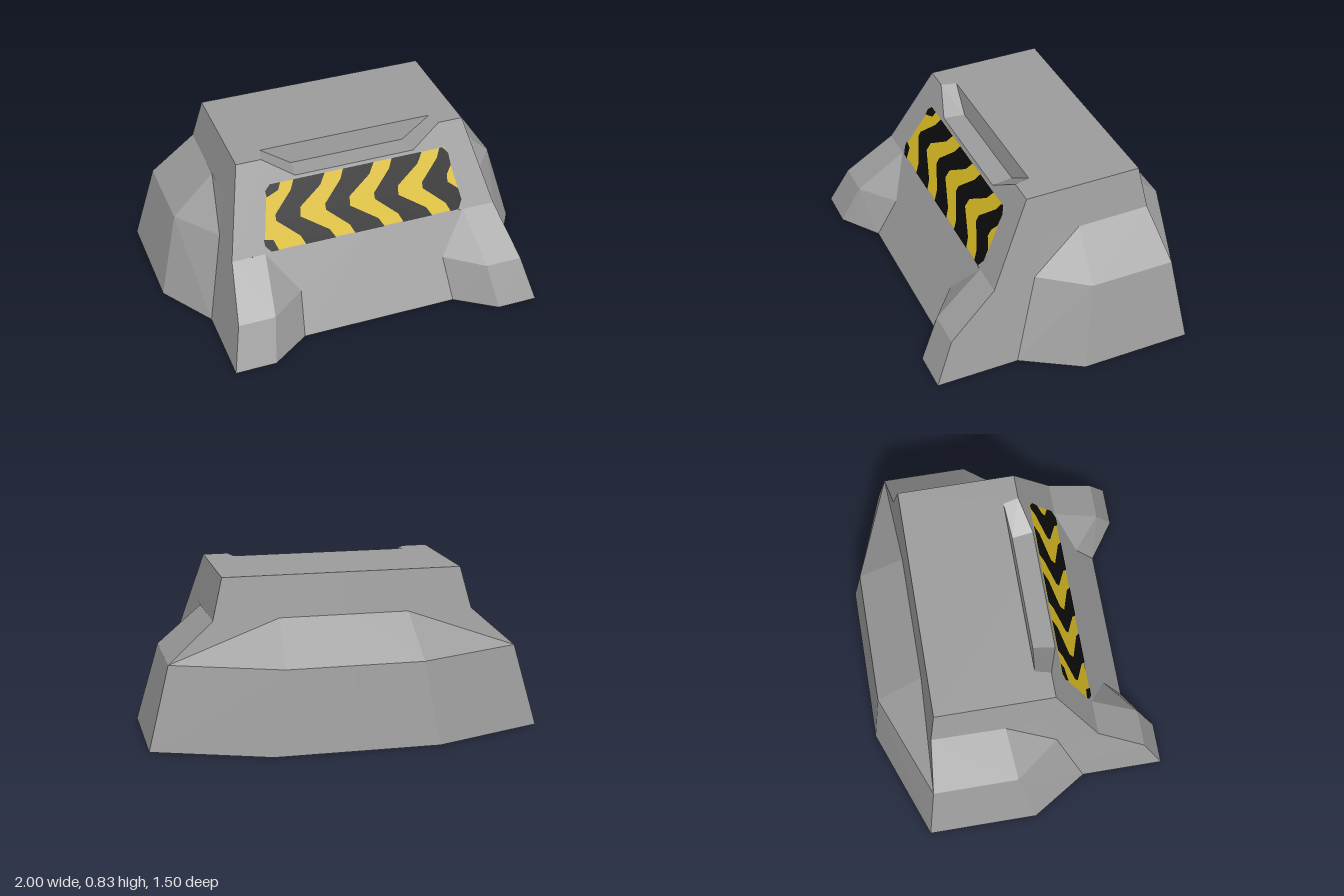
import * as THREE from 'three';

const concrete = new THREE.MeshStandardMaterial({ color: 0x9c9c9c });
const yellow = new THREE.MeshStandardMaterial({ color: 0xd9bb24 });
const black = new THREE.MeshStandardMaterial({ color: 0x0c0c0c });

// Flat faces given for the +x half, fanned into triangles and mirrored to -x
function mirroredMesh(name, faces) {
  const pos = [];
  const fan = (p) => {
    for (let i = 1; i < p.length - 1; i++) pos.push(...p[0], ...p[i], ...p[i + 1]);
  };
  for (const face of faces) {
    fan(face);
    const m = face.map(([x, y, z]) => [-x, y, z]);
    fan([m[0], ...m.slice(1).reverse()]);
  }
  const geo = new THREE.BufferGeometry();
  geo.setAttribute('position', new THREE.Float32BufferAttribute(pos, 3));
  geo.computeVertexNormals();
  const mesh = new THREE.Mesh(geo, concrete);
  mesh.name = name;
  return mesh;
}

// Depth of the sloping front at height y
const slope = (y) => 0.18 + (0.83 - y) * 0.518;
const onFront = (x, y) => [x, y, slope(y)];

// Painted flat area lying on the sloping front
function paint(name, points, material, lift) {
  const shape = new THREE.Shape(points.map(([x, y]) => new THREE.Vector2(x, y)));
  const geo = new THREE.ShapeGeometry(shape);
  const p = geo.attributes.position;
  for (let i = 0; i < p.count; i++) p.setZ(i, slope(p.getY(i)) + lift);
  geo.computeVertexNormals();
  const mesh = new THREE.Mesh(geo, material);
  mesh.name = name;
  return mesh;
}

export function createModel() {
  const group = new THREE.Group();
  group.name = 'concreteBarrier';

  // Central block: side wall, back and top
  const topBack = [0.61, 0.83, -0.43], topFront = [0.61, 0.83, 0.18];
  const knee = [0.715, 0.41, 0.398], toeTop = [0.767, 0.21, 0.65], toe = [0.82, 0, 0.75];
  const notchBack = [0.46, 0.83, 0.10], notchFront = [0.48, 0.83, 0.18];
  group.add(mirroredMesh('block', [
    [[0.82, 0, -0.55], topBack, topFront, knee, toeTop, toe],
    [[0, 0.62, -0.46], [0, 0.83, -0.43], topBack, [0.663, 0.62, -0.46]].reverse().map((p) => p).reverse(),
    [topBack, [0, 0.83, -0.43], [0, 0.83, 0.10], notchBack, notchFront, topFront],
  ]));

  // Sloping front panel
  group.add(mirroredMesh('frontPanel', [
    [knee, topFront, notchFront, onFront(0.32, 0.73), onFront(0, 0.73), onFront(0, 0.41)],
    [onFront(0, 0.41), onFront(0, 0), onFront(0.41, 0), onFront(0.39, 0.21), onFront(0.35, 0.41)],
  ]));

  // Notch cut in the top front edge: back wall, floor, slanted ends
  const floorBack = [0.305, 0.73, 0.12], floorFront = onFront(0.32, 0.73);
  group.add(mirroredMesh('notch', [
    [[0, 0.83, 0.10], [0, 0.73, 0.12], floorBack, notchBack],
    [[0, 0.73, 0.12], onFront(0, 0.73), floorFront, floorBack],
    [floorBack, floorFront, notchFront, notchBack],
  ]));

  // Front feet
  const footLow = [0.61, 0, 0.75], footMid = [0.575, 0.21, 0.65], footTop = [0.54, 0.41, 0.398];
  group.add(mirroredMesh('feet', [
    [onFront(0.41, 0), footLow, footMid, onFront(0.39, 0.21)],
    [footLow, toe, toeTop, footMid],
    [footMid, toeTop, knee, footTop],
    [onFront(0.39, 0.21), footMid, footTop, onFront(0.35, 0.41)],
  ]));

  // Buttress wrapped around the sides and back, lofted through three rings
  const rings = [
    [0, [[0.82, 0.32], [1, 0.03], [1, -0.54], [0.42, -0.755], [0, -0.755]]],
    [0.42, [[0.714, 0.18], [0.89, -0.05], [0.89, -0.49], [0.35, -0.70], [0, -0.70]]],
    [0.62, [[0.663, 0.11], [0.667, -0.08], [0.663, -0.46], [0.33, -0.46], [0, -0.46]]],
  ].map(([y, pts]) => pts.map(([x, z]) => [x, y, z]));
  const sides = [];
  for (let r = 0; r < 2; r++) {
    const a = rings[r], b = rings[r + 1];
    for (let i = 0; i < 4; i++) sides.push([a[i], a[i + 1], b[i + 1], b[i]]);
  }
  group.add(mirroredMesh('buttress', sides));

  // Underside
  const [wall, corner, backCorner, back, backMid] = rings[0];
  group.add(mirroredMesh('underside', [
    [onFront(0.41, 0), onFront(0, 0), backMid, back, backCorner, corner, wall, toe, footLow],
  ]));

  // Hazard panel with chevrons pointing to -x
  group.add(paint('hazardPanel', [
    [-0.535, 0.455], [-0.51, 0.418], [0.515, 0.418], [0.537, 0.46], [0.53, 0.52],
    [0.505, 0.65], [0.49, 0.715], [-0.465, 0.715], [-0.485, 0.67],
  ], yellow, 0.003));

  const outer = [[-0.324, 0.417], [-0.345, 0.46], [-0.457, 0.55], [-0.457, 0.578], [-0.356, 0.674], [-0.334, 0.717]];
  const inner = [[-0.168, 0.717], [-0.2, 0.668], [-0.323, 0.588], [-0.329, 0.545], [-0.19, 0.46], [-0.163, 0.417]];
  const shift = (pts, d) => pts.map(([x, y]) => [x + d, y]);
  for (let i = 0; i < 3; i++) {
    group.add(paint('chevron', shift([...outer, ...inner], i * 0.265), black, 0.006));
  }
  group.add(paint('endChevron', [
    ...shift(outer, 0.795), [0.48, 0.717], [0.505, 0.685], [0.51, 0.63], [0.48, 0.59],
    [0.478, 0.555], [0.53, 0.515], [0.54, 0.46], [0.515, 0.417],
  ], black, 0.006));
  group.add(paint('topCornerMark', [
    [-0.485, 0.662], [-0.42, 0.685], [-0.404, 0.717], [-0.46, 0.717], [-0.488, 0.69],
  ], black, 0.006));
  group.add(paint('bottomCornerMark', [
    [-0.51, 0.419], [-0.468, 0.417], [-0.488, 0.468], [-0.537, 0.477], [-0.535, 0.45],
  ], black, 0.006));

  return group;
}
